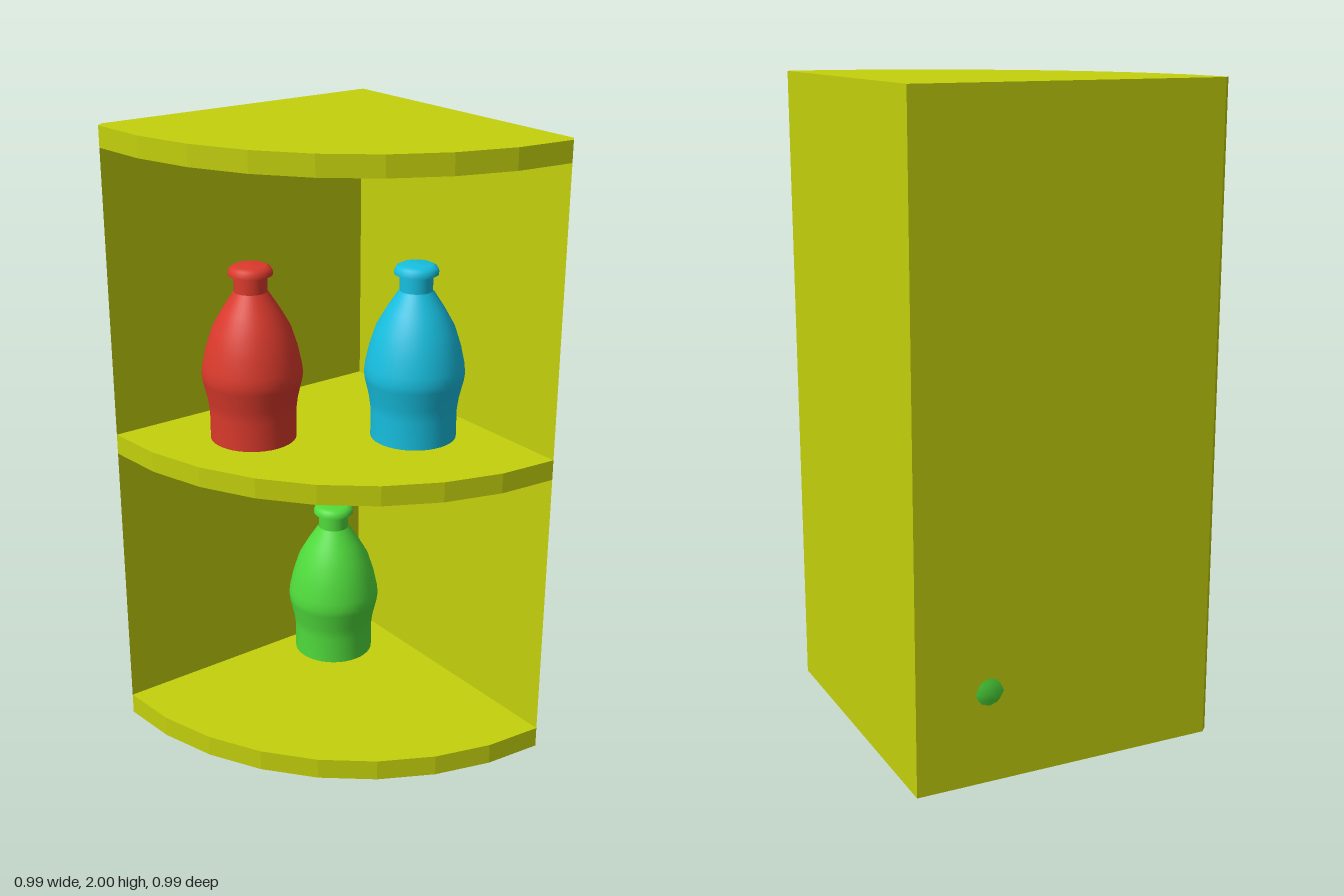
import * as THREE from 'three';

const material = (color, flatShading = false) => new THREE.MeshStandardMaterial({ color, flatShading });

// Extrude an outline given as [x, z] points upward from y to y + height
function slab(name, points, y, height, mat) {
  const shape = new THREE.Shape(points.map(([x, z]) => new THREE.Vector2(x, -z)));
  const geometry = new THREE.ExtrudeGeometry(shape, { depth: height, bevelEnabled: false });
  geometry.rotateX(-Math.PI / 2);
  const mesh = new THREE.Mesh(geometry, mat);
  mesh.name = name;
  mesh.position.y = y;
  return mesh;
}

// Lathed bottle: straight foot, swelling belly, tapering shoulder, neck and rounded cap
function bottle(name, color, x, y, z) {
  const group = new THREE.Group();
  group.name = name;
  group.position.set(x, y, z);
  const mat = material(color);
  const addLathe = (partName, profile) => {
    const points = profile.map(([r, h]) => new THREE.Vector2(r, h));
    const mesh = new THREE.Mesh(new THREE.LatheGeometry(points, 40), mat);
    mesh.name = partName;
    group.add(mesh);
  };
  addLathe('bottleBase', [[0, 0], [0.135, 0]]);
  addLathe('bottleBody', [[0.135, 0], [0.135, 0.09], [0.14, 0.13], [0.154, 0.19], [0.157, 0.212],
    [0.154, 0.24], [0.142, 0.295], [0.121, 0.36], [0.09, 0.415], [0.052, 0.474]]);
  addLathe('bottleNeck', [[0.051, 0.47], [0.051, 0.526]]);
  addLathe('capUnderside', [[0.051, 0.526], [0.068, 0.526]]);
  addLathe('cap', [[0.068, 0.526], [0.068, 0.536], [0.062, 0.548], [0.048, 0.555], [0, 0.557]]);
  return group;
}

export function createModel() {
  const model = new THREE.Group();
  model.name = 'cornerShelf';
  const wood = material(0xc3d00c, true);

  // Two joined walls with slanted free ends
  const inner = [-0.47, -0.475];
  const radius = 0.965;
  model.add(slab('cornerWalls', [
    [-0.49, -0.495], [-0.49, 0.47], [-0.47, 0.49], inner, [0.495, -0.475], [0.475, -0.495],
  ], 0, 2, wood));

  // Quarter-round shelves with an eight-sided front edge
  const outline = [inner];
  for (let i = 0; i <= 8; i++) {
    const a = (Math.PI / 2) * (1 - i / 8);
    outline.push([inner[0] + radius * Math.cos(a), inner[1] + radius * Math.sin(a)]);
  }
  const shelves = [['bottomShelf', 0, 0.068], ['middleShelf', 0.963, 0.065], ['topShelf', 1.935, 0.065]];
  for (const [name, y, height] of shelves) model.add(slab(name, outline, y, height, wood));

  // Bottles standing on the shelves
  model.add(bottle('redBottle', 0xdb3a2c, -0.21, 1.028, 0.145));
  model.add(bottle('blueBottle', 0x17bfe0, 0.08, 1.028, -0.265));
  model.add(bottle('greenBottle', 0x50dc3c, -0.34, 0.068, -0.265));
  return model;
}
